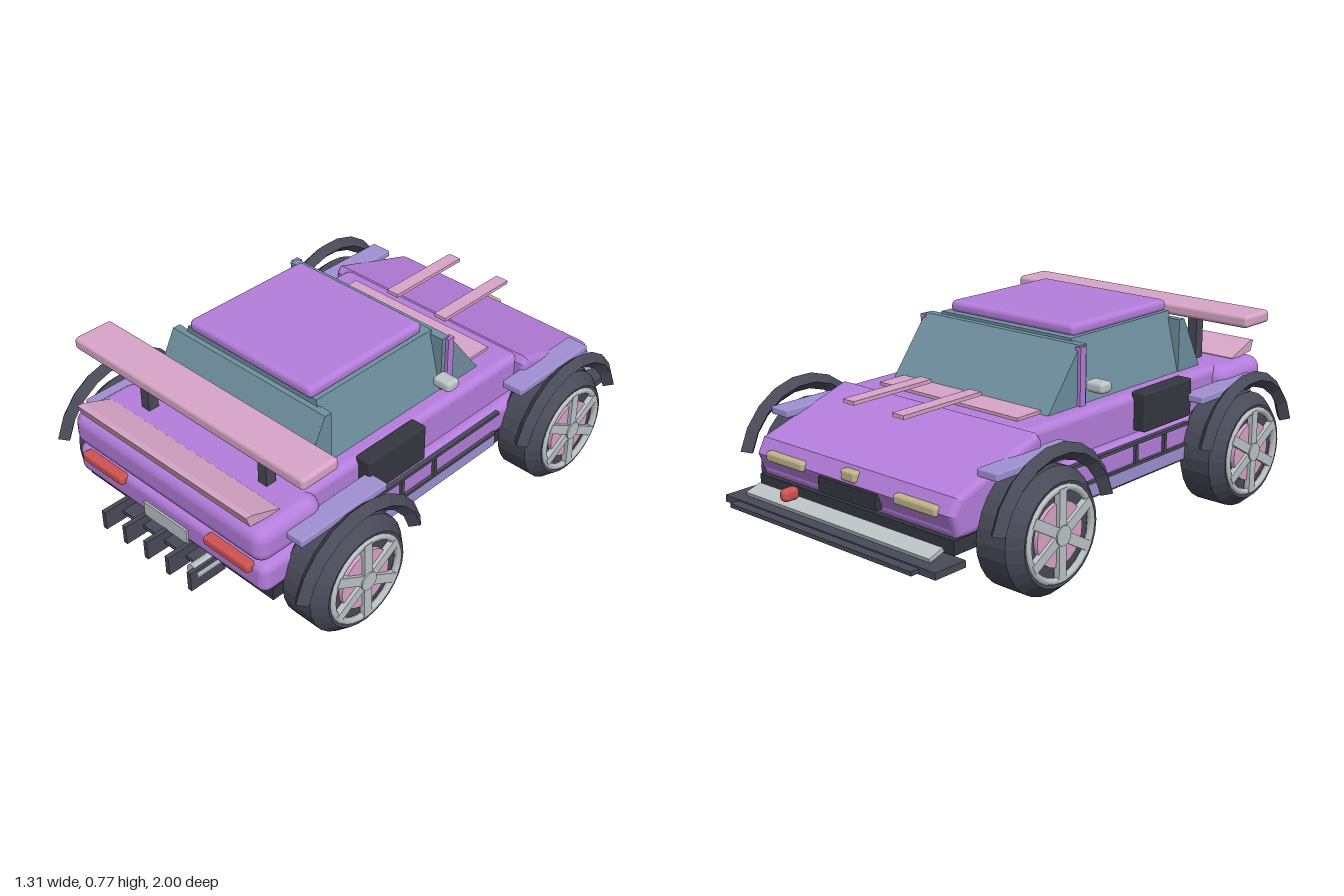
import * as THREE from 'three';
import { RoundedBoxGeometry } from 'three/addons/geometries/RoundedBoxGeometry.js';

const paint = (name, color, extra = {}) => Object.assign(new THREE.MeshStandardMaterial({ color, ...extra }), { name });

export function createModel() {
  const car = new THREE.Group();
  car.name = 'car';
  const purple = paint('purple paint', 0xb57edc);
  const violet = paint('violet trim', 0x9f90d2);
  const pink = paint('pink trim', 0xd8a5c8);
  const glass = paint('glass', 0x6f909f);
  const dark = paint('dark rubber', 0x484a58, { flatShading: true, side: THREE.DoubleSide });
  const black = paint('black plastic', 0x353741);
  const silver = paint('silver', 0xbcc4c6);
  const red = paint('red', 0xd05252);
  const khaki = paint('headlight', 0xbfb48c);

  const add = (name, geo, mat, parent = car) => {
    const m = new THREE.Mesh(geo, mat);
    m.name = name;
    parent.add(m);
    return m;
  };
  // Box given by its extents, optionally with rounded edges
  const box = (name, mat, [x1, x2], [y1, y2], [z1, z2], r = 0) => {
    const s = [Math.abs(x2 - x1), y2 - y1, z2 - z1];
    const geo = r ? new RoundedBoxGeometry(...s, 3, r) : new THREE.BoxGeometry(...s);
    const m = add(name, geo, mat);
    m.position.set((x1 + x2) / 2, (y1 + y2) / 2, (z1 + z2) / 2);
    return m;
  };
  // Side profile of [z, y] points, extruded across the car
  const prism = (name, mat, pts, width, bevel = 0) => {
    const shape = new THREE.Shape(pts.map(p => new THREE.Vector2(...p)));
    const geo = new THREE.ExtrudeGeometry(shape, {
      depth: width - 2 * bevel, bevelEnabled: bevel > 0, bevelSize: bevel,
      bevelThickness: bevel, bevelOffset: -bevel, bevelSegments: 3,
    });
    geo.rotateY(-Math.PI / 2).translate(width / 2 - bevel, 0, 0);
    return add(name, geo, mat);
  };

  // Body shell
  box('floor', black, [-0.475, 0.475], [0.2, 0.25], [-0.84, 0.86]);
  box('lowerBody', purple, [-0.48, 0.48], [0.24, 0.36], [-0.83, 0.9], 0.035);
  box('upperBody', purple, [-0.435, 0.435], [0.33, 0.505], [-0.45, 0.85], 0.03);
  box('rearDeck', purple, [-0.48, 0.48], [0.365, 0.505], [0.62, 0.91], 0.05);
  prism('hood', purple, [[-0.82, 0.25], [-0.85, 0.33], [-0.82, 0.385], [-0.44, 0.505], [-0.42, 0.48], [-0.42, 0.25]], 0.96, 0.02);

  // Cabin
  const side = new THREE.Shape([[-0.375, 0.49], [0.375, 0.49], [0.315, 0.73], [-0.315, 0.73]].map(p => new THREE.Vector2(...p)));
  add('cabinGlass', new THREE.ExtrudeGeometry(side, { depth: 0.57, bevelEnabled: false }).translate(0, 0, -0.08), glass);
  prism('windshield', glass, [[-0.28, 0.495], [-0.07, 0.495], [-0.07, 0.72], [-0.105, 0.72]], 0.75);
  prism('rearWindow', glass, [[0.48, 0.495], [0.62, 0.495], [0.51, 0.705], [0.48, 0.705]], 0.75);
  box('roof', purple, [-0.3, 0.3], [0.722, 0.77], [-0.05, 0.5], 0.02);

  // Hood trim
  box('cowlPlate', pink, [-0.335, 0.335], [0.5, 0.516], [-0.385, -0.26]);
  for (const x of [-0.12, 0.12]) box('hoodStrip', pink, [x - 0.027, x + 0.027], [0.552, 0.566], [-0.73, -0.36]);

  // Rear wing and ducktail
  box('wing', pink, [-0.565, 0.565], [0.67, 0.718], [0.64, 0.8], 0.015);
  prism('ducktail', pink, [[0.77, 0.5], [0.9, 0.512], [0.915, 0.555], [0.89, 0.553], [0.77, 0.508]], 0.85);

  // Nose
  box('splitter', dark, [-0.515, 0.515], [0.17, 0.195], [-0.965, -0.83]);
  box('splitterLip', dark, [-0.445, 0.445], [0.175, 0.19], [-1, -0.96]);
  const bar = box('bumperBar', silver, [-0.45, 0.45], [0.205, 0.22], [-0.925, -0.86]);
  bar.rotation.x = -0.3;
  box('towHook', red, [0.22, 0.26], [0.225, 0.272], [-0.938, -0.87], 0.018);
  box('nosePlate', black, [-0.14, 0.14], [0.27, 0.325], [-0.86, -0.83]);
  box('noseBadge', khaki, [-0.035, 0.035], [0.335, 0.375], [-0.855, -0.82], 0.01);

  // Tail
  box('rearPlate', silver, [-0.11, 0.11], [0.247, 0.305], [0.9, 0.908]);
  for (let i = -2; i <= 2; i++) box('diffuserFin', dark, [i * 0.111 - 0.009, i * 0.111 + 0.009], [0.175, 0.25], [0.85, 1]);
  box('diffuserBar', dark, [-0.22, 0.22], [0.2, 0.215], [0.84, 0.925]);
  const pipe = add('exhaust', new THREE.CylinderGeometry(0.028, 0.028, 0.12, 16), silver);
  pipe.rotation.x = Math.PI / 2;
  pipe.position.set(0.205, 0.225, 0.91);

  // Parts mirrored on both sides
  for (const s of [-1, 1]) {
    const sx = (a, b) => (s > 0 ? [a, b] : [-b, -a]);
    box('headlight', khaki, sx(0.22, 0.415), [0.315, 0.352], [-0.862, -0.82], 0.012);
    box('tailLight', red, sx(0.21, 0.425), [0.32, 0.355], [0.88, 0.922], 0.01);
    box('wingPost', dark, sx(0.275, 0.315), [0.49, 0.675], [0.68, 0.723]);
    box('pillar', purple, sx(0.364, 0.388), [0.48, 0.716], [-0.118, -0.088]);
    box('mirror', silver, sx(0.375, 0.455), [0.55, 0.592], [-0.08, -0.02], 0.015);
    box('sideVent', black, sx(0.42, 0.485), [0.37, 0.515], [0.13, 0.415], 0.008);
    box('sideRail', dark, sx(0.46, 0.487), [0.338, 0.35], [-0.28, 0.4]);
    box('sideSkirt', violet, sx(0.46, 0.488), [0.212, 0.262], [-0.26, 0.38]);
    box('skirtEdge', dark, sx(0.46, 0.492), [0.262, 0.272], [-0.26, 0.38]);
    for (const z of [0.08, 0.25]) box('sideRib', dark, sx(0.46, 0.492), [0.27, 0.34], [z - 0.007, z + 0.007]);

    for (const z of [-0.52, 0.595]) {
      box('fenderPlate', violet, sx(0.46, 0.548), [0.428, 0.457], [z - 0.2, z + 0.2], 0.006);
      // Peaked wheel arch
      const arc = 2.62;
      const arch = add('wheelArch', new THREE.TorusGeometry(0.277, 0.03, 4, 9, arc).rotateZ((Math.PI - arc) / 2), dark);
      arch.rotation.y = Math.PI / 2;
      arch.position.set(s * 0.613, 0.215, z);

      // Wheel, built along +z then turned outward
      const wheel = new THREE.Group();
      wheel.name = 'wheel';
      const profile = [[0, -0.1], [0.17, -0.105], [0.22, -0.065], [0.22, 0.06], [0.18, 0.105], [0.16, 0.1], [0.155, 0.085], [0, 0.085]]
        .map(p => new THREE.Vector2(...p));
      add('tyre', new THREE.LatheGeometry(profile, 28).rotateX(Math.PI / 2), dark, wheel);
      add('rimDisc', new THREE.CylinderGeometry(0.112, 0.112, 0.02, 24).rotateX(Math.PI / 2).translate(0, 0, 0.09), pink, wheel);
      add('rimRing', new THREE.TorusGeometry(0.158, 0.013, 6, 28).translate(0, 0, 0.1), silver, wheel);
      add('hub', new THREE.CylinderGeometry(0.035, 0.035, 0.03, 16).rotateX(Math.PI / 2).translate(0, 0, 0.103), silver, wheel);
      for (let i = 0; i < 6; i++) {
        const spoke = new THREE.BoxGeometry(0.036, 0.15, 0.022).translate(0, 0.085, 0.102).rotateZ(i * Math.PI / 3);
        add('spoke', spoke, silver, wheel);
      }
      wheel.rotation.y = s * Math.PI / 2;
      wheel.position.set(s * 0.538, 0.22, z);
      car.add(wheel);
    }
  }
  return car;
}
